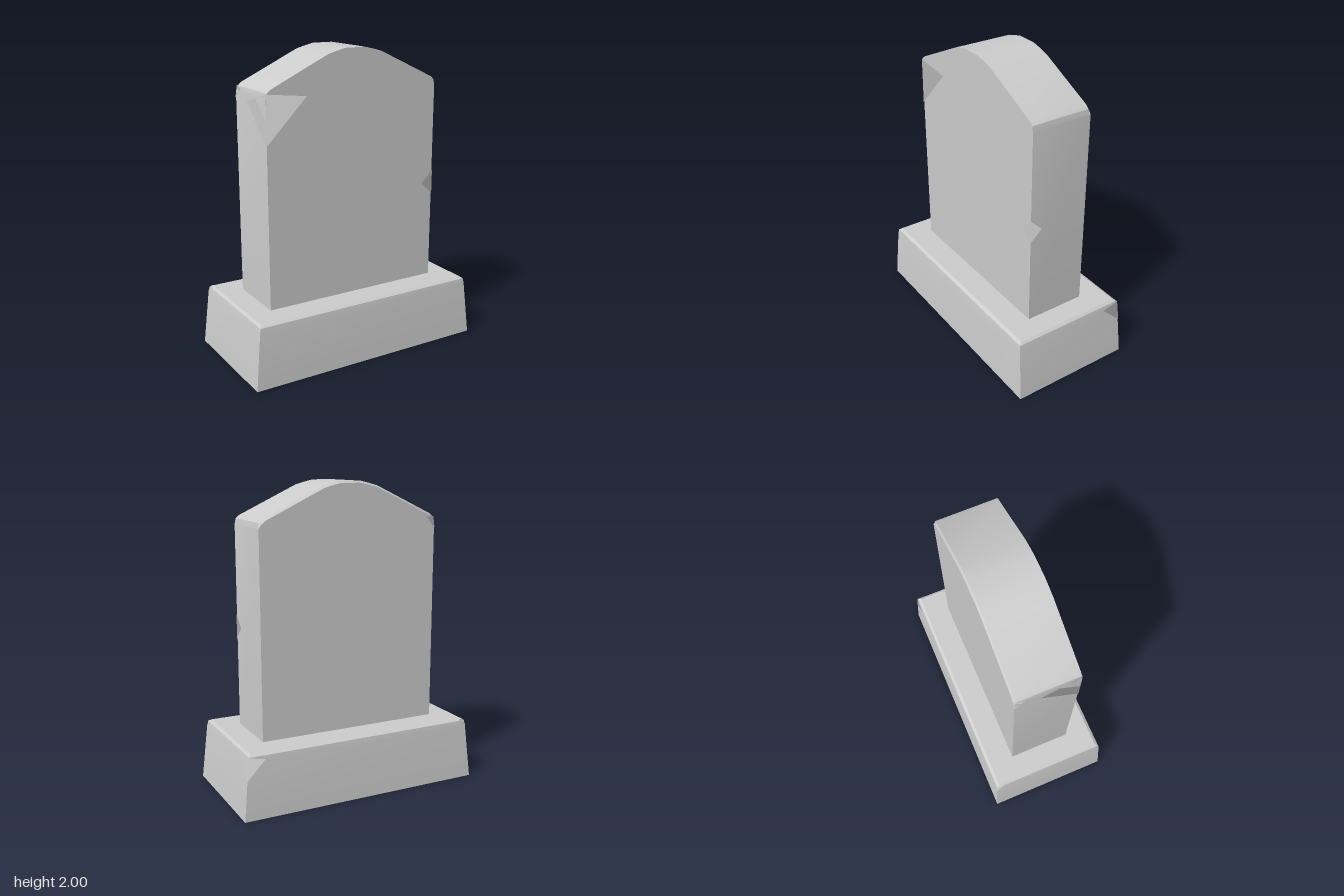
import * as THREE from 'three';
import { toCreasedNormals } from 'three/addons/utils/BufferGeometryUtils.js';

const material = new THREE.MeshStandardMaterial({ color: 0xcccccc });
const chipMaterial = new THREE.MeshStandardMaterial({ color: 0xcccccc, side: THREE.DoubleSide });

function add(group, name, geometry, mat = material) {
  const mesh = new THREE.Mesh(geometry, mat);
  mesh.name = name;
  group.add(mesh);
}

// Tapered plinth: four-sided prism whose rows follow [halfX, halfZ, y], top first
function plinthGeometry() {
  const rows = [[0.76, 0.367, 0.41], [0.776, 0.387, 0.397], [0.783, 0.392, 0.365], [0.82, 0.41, 0]];
  const geo = new THREE.CylinderGeometry(Math.SQRT2, Math.SQRT2, 1, 4, rows.length - 1, false, Math.PI / 4);
  const pos = geo.attributes.position;
  for (let i = 0; i < pos.count; i++) {
    const [hx, hz, y] = rows[Math.round((0.5 - pos.getY(i)) * (rows.length - 1))];
    pos.setXYZ(i, pos.getX(i) * hx, y, pos.getZ(i) * hz);
  }
  return toCreasedNormals(geo, 0.25);
}

// Upright slab with a shallow peaked top and a small bevel on the upper back edge
function slabGeometry() {
  const half = [[0.615, 0.4], [0.615, 1.73], [0.607, 1.765], [0.585, 1.785], [0.19, 1.97], [0.135, 1.985], [0.07, 2]];
  const mirrored = half.map(([x, y]) => [-x, y]).reverse();
  const shape = new THREE.Shape([...half, ...mirrored].map(([x, y]) => new THREE.Vector2(x, y)));
  const geo = new THREE.ExtrudeGeometry(shape, { depth: 0.41, steps: 2, bevelEnabled: false });
  geo.translate(0, 0, -0.205);
  const pos = geo.attributes.position;
  for (let i = 0; i < pos.count; i++) {
    const z = pos.getZ(i);
    if (Math.abs(z) < 0.01) pos.setZ(i, -0.193);
    else if (z < 0 && pos.getY(i) > 1.74) {
      pos.setX(i, pos.getX(i) * 0.985);
      pos.setY(i, pos.getY(i) - 0.012);
    }
  }
  return toCreasedNormals(geo, 0.45);
}

// Worn facet folded over an edge: top and bottom lie on the edge, a and b on its two sides
function chipGeometry(top, a, bottom, b) {
  let [t, p, u, q] = [top, a, bottom, b].map((v) => new THREE.Vector3(...v));
  const n = p.clone().sub(q).cross(u.clone().sub(t)).normalize();
  if (n.x * t.x + n.z * t.z < 0) n.negate();
  const facing = p.clone().sub(t).cross(u.clone().sub(t));
  if (facing.dot(n) < 0) [p, q] = [q, p];
  const corners = [t, p, u, t, u, q].map((v) => v.clone().addScaledVector(n, 0.004));
  const geo = new THREE.BufferGeometry().setFromPoints(corners);
  geo.setAttribute('normal', new THREE.Float32BufferAttribute(corners.flatMap(() => n.toArray()), 3));
  return geo;
}

export function createModel() {
  const group = new THREE.Group();
  group.name = 'headstone';
  add(group, 'plinth', plinthGeometry());
  add(group, 'slab', slabGeometry());

  // Chips along the stone's edges
  const chips = {
    upperFrontChip: [[-0.609, 1.76, 0.205], [-0.34, 1.73, 0.205], [-0.615, 1.45, 0.205], [-0.615, 1.69, -0.05]],
    sideChip: [[0.615, 1.15, 0.205], [0.53, 1.07, 0.205], [0.615, 0.99, 0.205], [0.615, 1.07, 0.125]],
    upperBackChip: [[-0.605, 1.765, -0.203], [-0.55, 1.765, -0.205], [-0.615, 1.69, -0.205], [-0.61, 1.75, -0.135]],
    plinthBackChip: [[0.778, 0.395, -0.388], [0.67, 0.375, -0.391], [0.794, 0.25, -0.398], [0.783, 0.37, -0.27]],
    plinthCornerChip: [[-0.765, 0.408, -0.373], [-0.735, 0.4, -0.385], [-0.784, 0.36, -0.392], [-0.774, 0.4, -0.335]],
  };
  for (const [name, points] of Object.entries(chips)) add(group, name, chipGeometry(...points), chipMaterial);
  return group;
}
